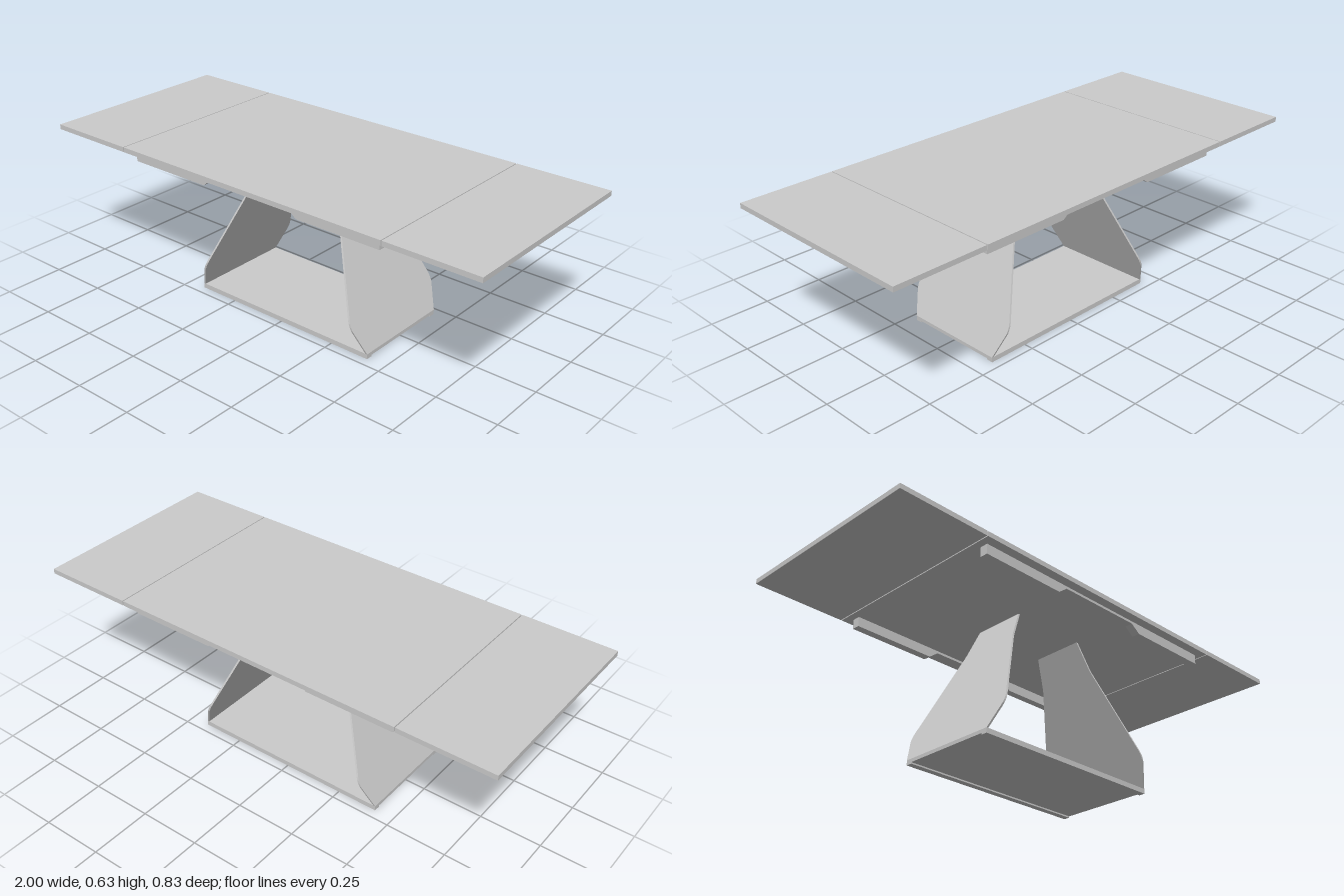
import * as THREE from 'three';

const material = new THREE.MeshStandardMaterial({ color: 0xcccccc, flatShading: true });

function addMesh(group, name, geometry, x = 0, y = 0, z = 0) {
  const mesh = new THREE.Mesh(geometry, material);
  mesh.name = name;
  mesh.position.set(x, y, z);
  group.add(mesh);
  return mesh;
}

function addBox(group, name, [x0, x1], [y0, y1], [z0, z1]) {
  return addMesh(group, name, new THREE.BoxGeometry(x1 - x0, y1 - y0, z1 - z0),
    (x0 + x1) / 2, (y0 + y1) / 2, (z0 + z1) / 2);
}

// Closed shape from one half of a profile, mirrored across the vertical axis
function mirroredShape(half) {
  const points = half.map(([a, b]) => new THREE.Vector2(a, b));
  const mirrored = half.slice().reverse().map(([a, b]) => new THREE.Vector2(-a, b));
  return new THREE.Shape([...points, ...mirrored]);
}

// Waisted panel whose vertices are sheared so that it leans inwards
function legGeometry(side) {
  const shape = mirroredShape([
    [0.213, 0.02], [0.245, 0.108], [0.248, 0.118], [0.249, 0.13], [0.248, 0.143],
    [0.245, 0.155], [0.131, 0.483], [0.128, 0.495], [0.108, 0.607],
  ]);
  const thickness = 0.008;
  const geometry = new THREE.ExtrudeGeometry(shape, { depth: thickness, bevelEnabled: false });
  geometry.rotateY(Math.PI / 2);
  geometry.translate(-thickness / 2, 0, 0);
  const p = geometry.attributes.position;
  for (let i = 0; i < p.count; i++) {
    const t = (p.getY(i) - 0.02) / 0.587;
    p.setX(i, p.getX(i) + side * THREE.MathUtils.lerp(0.416, 0.164, t));
  }
  geometry.computeVertexNormals();
  return geometry;
}

export function createModel() {
  const model = new THREE.Group();
  model.name = 'extendingTable';

  // Table top: centre panel and two end leaves with narrow seams
  const top = new THREE.Group();
  top.name = 'tableTop';
  model.add(top);
  const topY = [0.607, 0.627], topZ = [-0.415, 0.415];
  addBox(top, 'centrePanel', [-0.615, 0.615], topY, topZ);
  addBox(top, 'leftLeaf', [0.619, 1], topY, topZ);
  addBox(top, 'rightLeaf', [-1, -0.619], topY, topZ);

  // Rails under the top, thin in the middle and deep towards the ends
  const railShape = mirroredShape([
    [0.185, 0.597], [0.225, 0.567], [0.585, 0.567], [0.585, 0.607],
  ]);
  for (const [name, z] of [['frontRail', 0.345], ['backRail', -0.378]]) {
    const rail = new THREE.ExtrudeGeometry(railShape, { depth: 0.033, bevelEnabled: false });
    addMesh(model, name, rail, 0, 0, z);
  }

  // Leaning legs
  addMesh(model, 'leftLeg', legGeometry(1));
  addMesh(model, 'rightLeg', legGeometry(-1));

  // Floor plate with a shallow runner along each long edge
  const base = new THREE.Group();
  base.name = 'base';
  model.add(base);
  addBox(base, 'basePlate', [-0.42, 0.42], [0.006, 0.02], [-0.213, 0.213]);
  addBox(base, 'frontRunner', [-0.42, 0.42], [0, 0.006], [0.187, 0.213]);
  addBox(base, 'backRunner', [-0.42, 0.42], [0, 0.006], [-0.213, -0.187]);

  return model;
}
